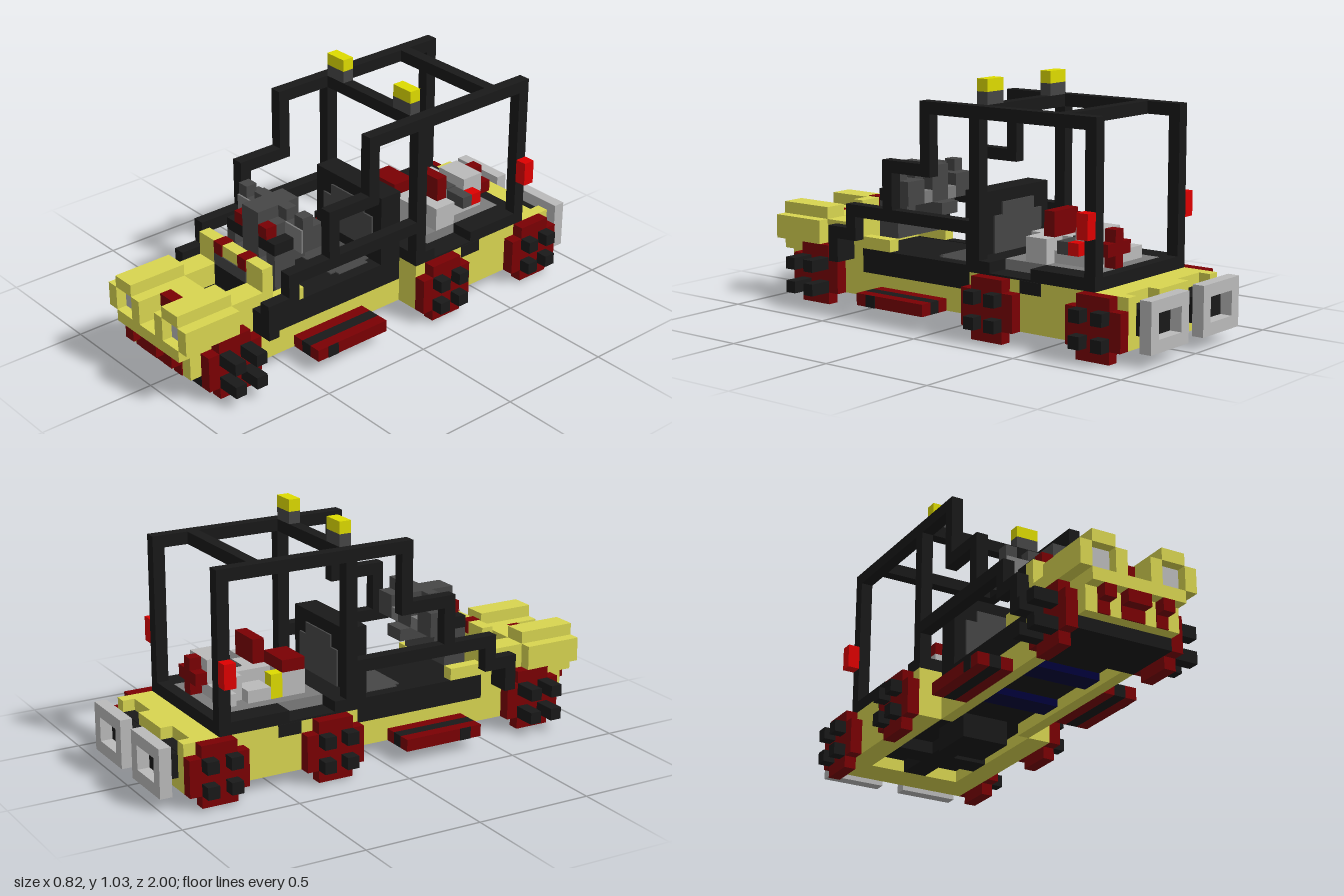
import * as THREE from 'three';

const U = 2 / 39; // one block; coordinates below count blocks, d runs from nose to tail

export function createModel() {
  const model = new THREE.Group();
  model.name = 'buggy';
  const M = {};
  const palette = {
    bodyYellow: 0xd8d550, lampYellow: 0xdedb00, darkRed: 0x7a0003, brightRed: 0xde0000,
    black: 0x191919, darkGrey: 0x464646, midGrey: 0x7c7c7c, lightGrey: 0xbababa, navy: 0x00003a,
  };
  for (const [name, color] of Object.entries(palette)) {
    M[name] = new THREE.MeshStandardMaterial({ color });
    M[name].name = name;
  }

  const box = (name, mat, x0, x1, y0, y1, d0, d1) => {
    const mesh = new THREE.Mesh(new THREE.BoxGeometry((x1 - x0) * U, (y1 - y0) * U, (d1 - d0) * U), M[mat]);
    mesh.position.set((x0 + x1) / 2 * U, (y0 + y1) / 2 * U, 1 - (d0 + d1) / 2 * U);
    mesh.name = name;
    model.add(mesh);
  };
  // the same box on both sides
  const pair = (name, mat, x0, x1, ...r) => {
    box(name, mat, x0, x1, ...r);
    box(name, mat, -x1, -x0, ...r);
  };

  // wheels: plus-shaped discs with four studs
  for (const [x, d] of [[4, 2], [6, 22], [6, 32]]) {
    pair('wheel', 'darkRed', x, x + 1, 1, 4, d, d + 5);
    pair('wheelTop', 'darkRed', x, x + 1, 4, 5, d + 1, d + 4);
    pair('wheelBottom', 'darkRed', x, x + 1, 0, 1, d + 1, d + 4);
    const out = x === 4 ? 7 : 8;
    for (const y of [1, 3]) for (const k of [1, 3]) {
      pair('wheelStud', 'black', x + 1, out, y, y + 1, d + k, d + k + 1);
    }
  }

  // nose, with the badge set back between the headlights
  box('noseLower', 'bodyYellow', -4, 4, 2, 4, 1, 8);
  box('noseMiddle', 'bodyYellow', -4, 4, 4, 5, 0, 8);
  pair('noseCore', 'bodyYellow', 1, 4, 5, 7, 1, 5);
  box('noseCentre', 'bodyYellow', -1, 1, 5, 7, 3, 5);
  pair('headlightTop', 'bodyYellow', 2, 4, 7, 8, 0, 5);
  pair('headlightCheek', 'bodyYellow', 4, 5, 5, 7, 0, 5);
  pair('headlightInner', 'bodyYellow', 1, 2, 5, 7, 0, 1);
  pair('headlight', 'lightGrey', 2, 4, 5, 7, 0.85, 1);
  box('noseBadge', 'darkRed', -1, 1, 6, 7, 2, 3);
  box('noseIntake', 'black', -1, 1, 5, 6, 2, 3);
  box('bumperCentre', 'darkRed', -1, 1, 3, 4, 0, 1);
  box('bumperCentreLower', 'darkRed', -1, 1, 2, 3, 0.9, 1);
  pair('bumperTooth', 'darkRed', 2, 3, 3, 4, 0, 1);
  pair('bumperToothLower', 'darkRed', 2, 3, 2, 3, 0.9, 1);
  box('frontSkid', 'black', -4, 4, 1, 2, 2, 7);

  // bonnet cavity and windscreen cowl
  pair('bonnetSide', 'bodyYellow', 2, 4, 5, 7, 5, 8);
  box('bonnetFloor', 'black', -2, 2, 5, 5.2, 5, 8);
  box('bonnetRib', 'bodyYellow', -1, 1, 5.2, 5.5, 5, 7);
  box('cowl', 'bodyYellow', -4, 4, 5, 9, 8, 9);
  box('cowlGrille', 'darkGrey', -2, 2, 7, 8, 7.9, 8);
  box('cowlOpening', 'black', -2, 2, 5, 7, 7.9, 8);
  pair('cowlMark', 'darkRed', 1, 2, 8, 9.05, 7.9, 9.1);
  pair('cowlSide', 'bodyYellow', 3, 4, 5, 6, 9, 12);

  // cabin tub: yellow walls with a black sill on top
  pair('tubSide', 'bodyYellow', 3, 4, 1, 3, 7, 22);
  pair('tubFront', 'bodyYellow', 3, 4, 3, 5, 8, 9);
  pair('tubSill', 'black', 3, 4, 3, 5, 9, 22);
  box('tubFloor', 'black', -3, 3, 2, 4.95, 8, 22);
  for (const [a, b] of [[10, 12], [16, 18]]) box('underTank', 'navy', -3, 3, 1.4, 2, a, b);
  pair('sideStepInner', 'darkRed', 4, 5, 1, 2, 11, 18);
  pair('sideStepTread', 'black', 5, 6, 1, 2, 11, 18);
  pair('sideStepOuter', 'darkRed', 6, 7, 1, 2, 11, 18);
  pair('sideStepMark', 'black', 7, 7.05, 1, 2, 12, 13);

  // dashboard
  box('dashLower', 'darkGrey', -3, 3, 6, 8, 10, 12);
  box('dashCore', 'darkGrey', -1, 1, 8, 12, 10, 14);
  pair('dashTop', 'darkGrey', 1, 2, 11, 12, 12, 13);
  pair('dashLamp', 'darkRed', 1, 2, 10, 11, 10, 11);
  pair('dashLampBack', 'darkGrey', 1, 2, 10, 11, 11, 13);
  pair('dashPanel', 'black', 1, 3, 9, 10, 10, 12);
  pair('dashPod', 'darkGrey', 2, 4, 9, 11, 12, 14);
  pair('dashGauge', 'midGrey', 2, 4, 10, 11, 11.85, 12);
  pair('dashGaugeLower', 'midGrey', 3, 4, 9, 10, 11.85, 12);
  pair('dashSwitch', 'midGrey', 1, 2, 9, 10, 13, 14);
  pair('dashKnob', 'darkGrey', 3, 4, 11, 12, 12, 13);
  pair('dashSupport', 'darkGrey', 2, 3, 8, 9, 10, 13);
  box('steeringColumn', 'darkGrey', -1, 1, 8, 9, 14, 15);

  // seat
  box('seatCushion', 'darkGrey', -3, 3, 4.9, 5.05, 16.5, 19.5);
  box('seatCushionMiddle', 'darkGrey', -2.5, 2.5, 4.9, 5.05, 16, 20);
  box('seatBack', 'black', -4, 4, 5, 11, 20, 22);
  for (const d of [19.85, 22]) {
    box('seatPanel', 'darkGrey', -3, 3, 6, 9, d, d + 0.15);
    box('seatPanelTop', 'darkGrey', -2, 2, 9, 10, d, d + 0.15);
  }

  // tubular cage
  const cage = [
    [4, 7, 7, 8], [6, 7, 8, 10], [7, 9, 9, 10], [8, 9, 10, 22], [9, 13, 13, 14], [12, 13, 14, 18],
    [13, 18, 17, 18], [17, 18, 18, 34], [5, 17, 22, 23], [5, 17, 33, 34], [5, 6, 23, 24], [5, 6, 28, 33],
  ];
  for (const r of cage) pair('cageBar', 'black', 5, 6, ...r);
  pair('cageFoot', 'black', 4, 5, 4, 6, 7, 8);
  box('roofBarMiddle', 'black', -5, 5, 17, 18, 22, 23);
  box('roofBarRear', 'black', -5, 5, 17, 18, 30, 31);
  pair('roofLampBase', 'darkGrey', 3, 5, 18, 19, 22, 23);
  pair('roofLamp', 'lampYellow', 3, 5, 19, 20, 22, 23);
  pair('tailLight', 'brightRed', 6, 7, 9, 11, 33, 34);

  // rear body
  pair('rearSide', 'bodyYellow', 4, 6, 1, 5, 22, 34);
  pair('rearSideNotch', 'black', 6, 6.05, 4, 5, 27, 29);
  box('rearFloor', 'black', -4, 4, 2, 5, 22, 34);
  box('tail', 'bodyYellow', -6, 6, 1, 5, 34, 36);
  box('tailLower', 'bodyYellow', -6, 6, 1, 4, 36, 37);
  box('tailMiddle', 'bodyYellow', -2, 2, 4, 5, 36, 37);
  pair('tailCorner', 'bodyYellow', 5, 6, 4, 5, 36, 37);
  box('axleSkid', 'black', -2, 2, 0, 2, 22, 26);
  box('driveShaft', 'black', -1, 1, 1, 2, 26, 34);
  box('rearAxle', 'black', -4, 4, 1, 2, 29, 31);
  box('bayFront', 'black', -5, 5, 5, 6, 22, 24);
  pair('bayRail', 'black', 4, 5, 5, 6, 28, 34);
  pair('bayRailFront', 'black', 4, 6, 5, 5.15, 24, 28);
  box('bayRear', 'black', -4, 4, 5, 6, 33, 34);
  box('bayDeck', 'midGrey', -4, 4, 5, 6, 24, 33);

  // engine: stepped blocks around a narrow core
  box('engineCore', 'lightGrey', -1, 2, 6, 8, 25, 30);
  box('engineLeftBank', 'lightGrey', 2, 4, 6, 8, 26, 28);
  box('engineLeftStep', 'lightGrey', 2, 3, 6, 7, 28, 30);
  box('engineRightStep', 'lightGrey', -3, -1, 6, 7, 28, 30);
  box('engineRightBank', 'lightGrey', -3, -1, 6, 8, 25, 27);
  box('engineTower', 'lightGrey', 0, 3, 6, 9, 30, 32);
  box('engineRearStep', 'lightGrey', -3, 0, 6, 7, 31, 32);
  box('engineRearBlock', 'lightGrey', -2, 0, 6, 8, 30, 31);
  box('airBox', 'darkRed', -3, 0, 8, 9, 25, 27);
  box('intakePipe', 'darkRed', 0, 3, 8, 10, 27, 28);
  box('fanBlade', 'darkRed', 0, 3, 7, 8, 32, 33);
  box('fanBladeUpright', 'darkRed', 1, 2, 6, 9, 32, 33);
  box('fillerCap', 'lampYellow', -3, -2, 6, 8, 27, 28);
  box('engineCap', 'darkGrey', 2, 4, 7, 8, 29, 30);
  box('engineDistributor', 'darkGrey', 0, 2, 8, 8.1, 29, 30);
  box('engineValve', 'brightRed', 3, 4, 7, 8, 30, 31);

  // square rear outlets
  pair('outletPipe', 'black', 1, 5, 2, 4, 37, 38);
  pair('outletNotch', 'black', 2, 5, 4, 4.05, 36, 37);
  for (const [x0, x1, y0, y1] of [[1, 6, 1, 2], [1, 6, 4, 5], [1, 2, 2, 4], [5, 6, 2, 4]]) {
    pair('outletFrame', 'lightGrey', x0, x1, y0, y1, 38, 39);
  }
  return model;
}
